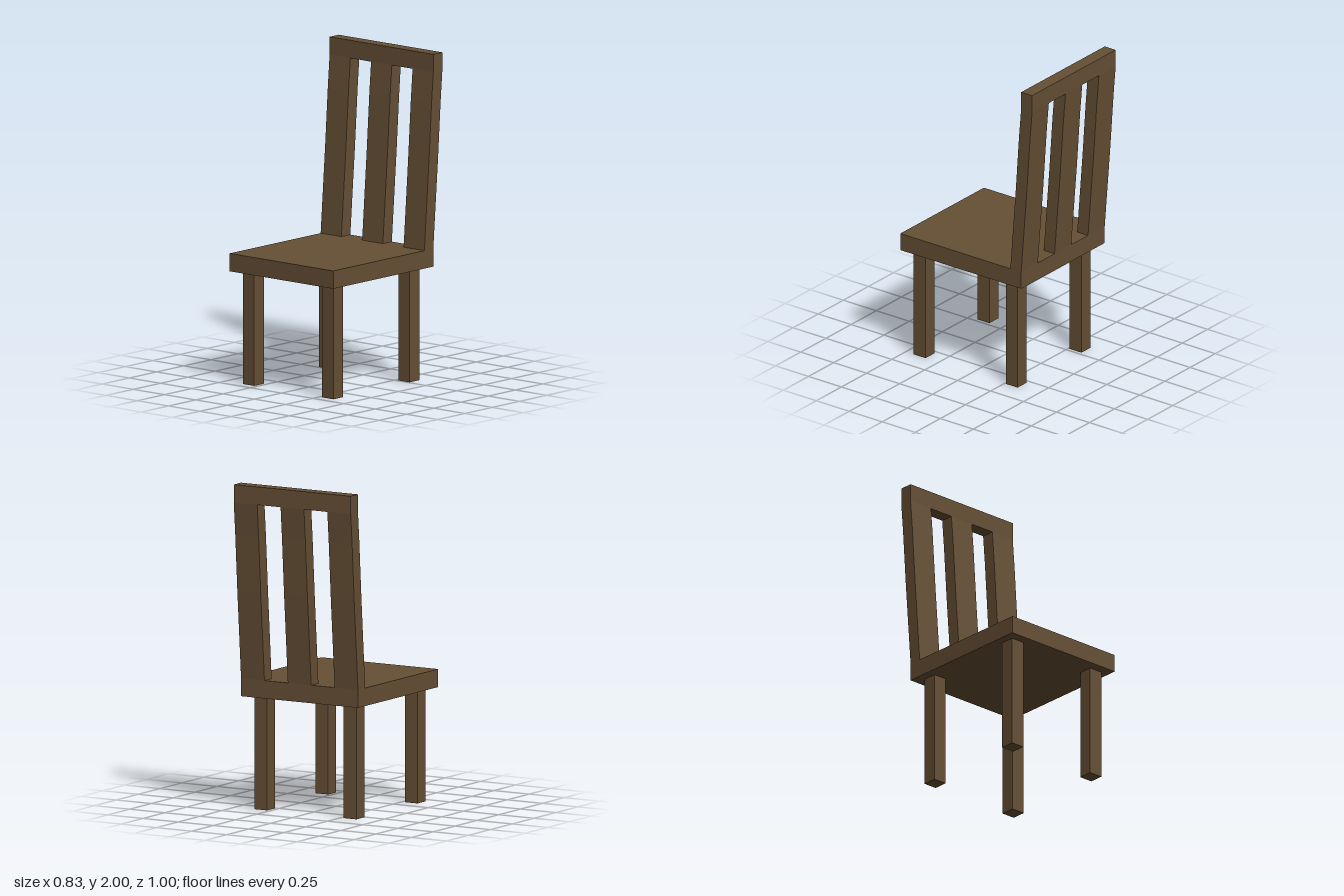
import * as THREE from 'three';

const wood = new THREE.MeshStandardMaterial({ color: 0x664f35, flatShading: true });

function addBox(parent, name, size, position) {
  const mesh = new THREE.Mesh(new THREE.BoxGeometry(...size), wood);
  mesh.name = name;
  mesh.position.set(...position);
  parent.add(mesh);
}

// Extrudes a side profile of [z, y] points across x, centred on x = 0
function profileGeometry(points, width) {
  const shape = new THREE.Shape(points.map(([z, y]) => new THREE.Vector2(z, y)));
  return new THREE.ExtrudeGeometry(shape, { depth: width, bevelEnabled: false })
    .translate(0, 0, -width / 2)
    .rotateY(-Math.PI / 2);
}

export function createModel() {
  const chair = new THREE.Group();
  chair.name = 'chair';

  // Seat slab, flush with the foot of the backrest
  addBox(chair, 'seat', [0.83, 0.11, 0.917], [0, 0.75, 0.0415]);

  // Four square legs
  for (const [side, x] of [['Left', 0.317], ['Right', -0.317]]) {
    addBox(chair, `frontLeg${side}`, [0.09, 0.695, 0.09], [x, 0.3475, 0.394]);
    addBox(chair, `backLeg${side}`, [0.09, 0.695, 0.09], [x, 0.3475, -0.305]);
  }

  const backrest = new THREE.Group();
  backrest.name = 'backrest';
  chair.add(backrest);

  // Slats lean back in a gentle bend: [front z, back z, y]
  const bend = [
    [-0.335, -0.417, 0.805],
    [-0.377, -0.46, 1.35],
    [-0.401, -0.484, 1.7],
    [-0.417, -0.5, 1.89],
  ];
  const profile = [
    ...bend.map(([front, , y]) => [front, y]),
    ...bend.map(([, back, y]) => [back, y]).reverse(),
  ];
  const slat = profileGeometry(profile, 0.166);
  for (const [name, x] of [['slatLeft', 0.332], ['slatMiddle', 0], ['slatRight', -0.332]]) {
    const mesh = new THREE.Mesh(slat, wood);
    mesh.name = name;
    mesh.position.x = x;
    backrest.add(mesh);
  }

  // Upright rail across the top
  addBox(backrest, 'topRail', [0.83, 0.11, 0.083], [0, 1.945, -0.4585]);

  return chair;
}
